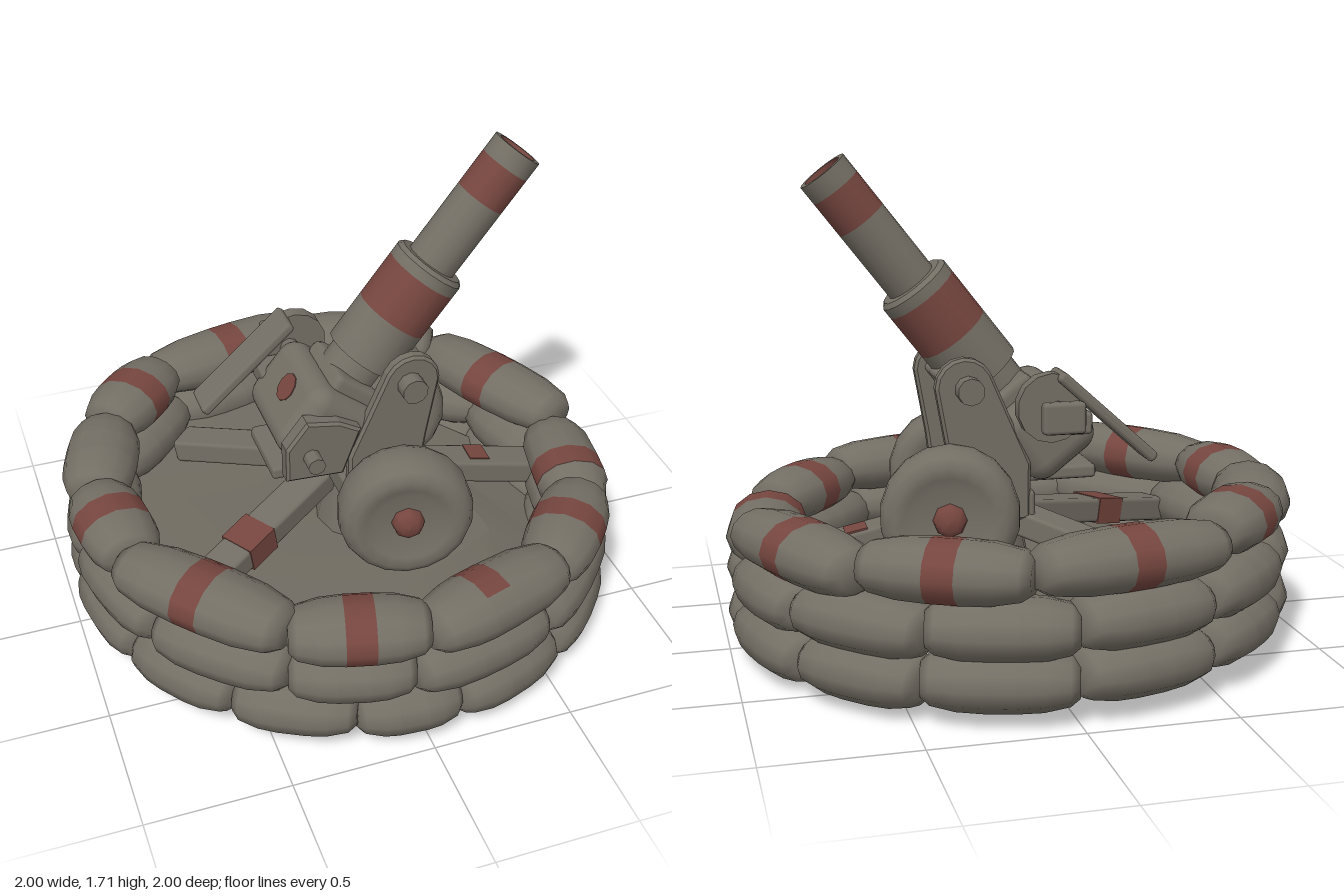
import * as THREE from 'three';
import { toCreasedNormals } from 'three/addons/utils/BufferGeometryUtils.js';
import { RoundedBoxGeometry } from 'three/addons/geometries/RoundedBoxGeometry.js';

const stone = new THREE.MeshStandardMaterial({ color: 0x746f65 });
stone.name = 'weathered grey';
const red = new THREE.MeshStandardMaterial({ color: 0x76463f });
red.name = 'faded red';
const ground = new THREE.MeshStandardMaterial({ color: 0x6f6a60, side: THREE.DoubleSide });
ground.name = 'earth grey';

const RAD = Math.PI / 180;

function add(parent, name, geometry, material, x = 0, y = 0, z = 0) {
  const mesh = new THREE.Mesh(geometry, material);
  mesh.name = name;
  mesh.position.set(x, y, z);
  parent.add(mesh);
  return mesh;
}

const curve = (points, sides, start, sweep) =>
  new THREE.LatheGeometry(points.map(([r, y]) => new THREE.Vector2(r, y)), sides, start, sweep);
const lathe = (points, sides) => toCreasedNormals(curve(points, sides), 0.7);

const box = (w, h, d, r = 0.015) => new RoundedBoxGeometry(w, h, d, 1, r);

// Cylinder lying along z
const pin = (r, length, sides = 10) => new THREE.CylinderGeometry(r, r, length, sides).rotateX(Math.PI / 2);

function prism(points, depth) {
  const shape = new THREE.Shape(points.map(([x, y]) => new THREE.Vector2(x, y)));
  return new THREE.ExtrudeGeometry(shape, { depth, bevelSize: 0.01, bevelThickness: 0.01, bevelSegments: 1 });
}

// One stuffed bag lying along local z; 'paint' is none, full or inner, 'shift' moves the band
function makeBag(length, paint, shift) {
  const bag = new THREE.Group();
  bag.name = 'sandbag';
  const half = length / 2 + 0.015;
  const end = [[0, -1], [0.55, -1], [0.78, -0.88], [0.95, -0.55]];
  const from = (shift - 0.05) / half, to = (shift + 0.05) / half;
  const low = [...end, [1, from]];
  const high = [[1, to], ...end.map(([r, y]) => [r, -y]).reverse()];
  const part = (name, profile, material, start = 0, sweep = 2) => add(bag, name,
    curve(profile, Math.round(sweep * 6), start * Math.PI, sweep * Math.PI)
      .rotateX(Math.PI / 2).scale(0.135, 0.103, half), material);
  part('bagEnd', low, stone);
  part('bagEnd', high, stone);
  const middle = [[1, from], [1, to]];
  if (paint === 'inner') {
    part('bagBand', middle, red, 5 / 6, 2 / 3);
    part('bagMiddle', middle, stone, 3 / 2, 4 / 3);
  } else part('bagBand', middle, paint === 'full' ? red : stone);
  return bag;
}

// Ring of bags between successive angles (degrees)
function makeRing(name, edges, height, paint, shift) {
  const ring = new THREE.Group();
  ring.name = name;
  for (let i = 0; i + 1 < edges.length; i++) {
    const mid = (edges[i] + edges[i + 1]) / 2 * RAD;
    const half = (edges[i + 1] - edges[i]) / 2 * RAD;
    const r = 0.87 * Math.cos(half * 0.5);
    const bag = makeBag(2 * 0.87 * Math.sin(half), paint(i), shift(i));
    bag.position.set(r * Math.cos(mid), height(i, Math.cos(mid), Math.sin(mid)), r * Math.sin(mid));
    bag.rotation.y = -mid;
    ring.add(bag);
  }
  return ring;
}

// Earth floor: a flat plateau with uneven slopes out to the bags
function makeFloor() {
  const plateau = [[0.47, -0.24], [0.5, 0.28], [0.06, 0.5], [-0.3, 0.46], [-0.55, 0.1], [-0.7, -0.36], [-0.35, -0.39], [0.05, -0.4]];
  const rimAngles = [-20, 25, 75, 122, 165, 206, 242, 285];
  const rimHeights = [0.14, 0.1, 0.16, 0.19, 0.2, 0.25, 0.33, 0.3];
  const verts = [];
  const inner = i => [plateau[i][0], 0.25, plateau[i][1]];
  const outer = i => [0.86 * Math.cos(rimAngles[i] * RAD), rimHeights[i], 0.86 * Math.sin(rimAngles[i] * RAD)];
  plateau.forEach((_, i) => {
    const n = (i + 1) % plateau.length;
    verts.push(0, 0.25, 0, ...inner(n), ...inner(i));
    verts.push(...inner(i), ...inner(n), ...outer(n), ...inner(i), ...outer(n), ...outer(i));
  });
  const g = new THREE.BufferGeometry();
  g.setAttribute('position', new THREE.Float32BufferAttribute(verts, 3));
  return toCreasedNormals(g, 0.5);
}

function makeWheel(x, z, side) {
  const wheel = new THREE.Group();
  wheel.name = side > 0 ? 'frontWheel' : 'backWheel';
  const half = [[0, -0.07], [0.11, -0.074], [0.15, -0.095], [0.19, -0.098], [0.22, -0.08], [0.237, -0.045], [0.24, 0]];
  const profile = [...half, ...half.slice(0, -1).map(([r, y]) => [r, -y]).reverse()];
  add(wheel, 'tyre', curve(profile, 18).rotateX(Math.PI / 2), stone);
  const hub = curve([[0.06, 0], [0.052, 0.035], [0.03, 0.05], [0, 0.054]], 8).rotateX(side * Math.PI / 2);
  add(wheel, 'hubCap', hub, red, 0, 0, side * 0.065);
  wheel.position.set(x, 0.51, z);
  wheel.rotation.y = -0.22;
  return wheel;
}

// Trail leg from the carriage to the ground
function makeLeg(from, to) {
  const a = new THREE.Vector3(...from), b = new THREE.Vector3(...to);
  const length = a.distanceTo(b);
  const leg = new THREE.Group();
  leg.name = 'trailLeg';
  add(leg, 'beam', box(0.13, 0.09, length), stone, 0, 0, length / 2);
  leg.position.copy(a);
  leg.lookAt(b);
  return leg;
}

// Barrel and breech, built along y with the muzzle at the origin
function makeGun() {
  const gun = new THREE.Group();
  gun.name = 'gun';
  const r = 0.092, j = 0.135;
  const sleeve = (name, radius, top, bottom, material) => add(gun, name,
    new THREE.CylinderGeometry(radius, radius, bottom - top, 16, 1, true), material, 0, -(top + bottom) / 2, 0);
  add(gun, 'muzzleRim', lathe([[r, -0.07], [r, 0], [0.072, 0]], 16), stone);
  add(gun, 'bore', lathe([[0.072, 0], [0.072, -0.12], [0, -0.12]], 16), red);
  sleeve('barrelBand', r, 0.07, 0.21, red);
  sleeve('barrel', r, 0.21, 0.52, stone);
  add(gun, 'jacketCollar', lathe([[j, -0.54], [j, -0.5], [0.12, -0.485], [r, -0.485]], 16), stone);
  sleeve('jacketBand', j, 0.54, 0.72, red);
  add(gun, 'jacket', lathe([[0.1, -0.9], [j, -0.9], [j, -0.72]], 16), stone);
  sleeve('neck', 0.11, 0.88, 1.1, stone);
  add(gun, 'cradle', box(0.1, 0.42, 0.22), stone, 0.1, -0.98, 0);
  // Breech block and its painted mark
  add(gun, 'breechCollar', box(0.22, 0.08, 0.28, 0.03), stone, 0, -1.0, 0);
  add(gun, 'breech', new RoundedBoxGeometry(0.29, 0.29, 0.42, 3, 0.07), stone, -0.03, -1.16, -0.01);
  const mark = add(gun, 'breechMark', new THREE.CylinderGeometry(0.052, 0.052, 0.008, 10), red, -0.175, -1.13, 0.01);
  mark.rotation.z = Math.PI / 2;
  gun.position.set(0.64, 1.657, 0.005);
  gun.rotation.z = -38 * RAD;
  return gun;
}

function makeCarriage() {
  const carriage = new THREE.Group();
  carriage.name = 'carriage';
  // Pedestal and base
  add(carriage, 'pedestal', new THREE.CylinderGeometry(0.15, 0.2, 0.23, 12), stone, 0.12, 0.366, 0);
  add(carriage, 'base', box(0.36, 0.1, 0.42), stone, 0.13, 0.51, 0);
  add(carriage, 'rearPlate', box(0.32, 0.05, 0.28), stone, -0.13, 0.6, 0);
  const strut = add(carriage, 'elevatingStrut', box(0.06, 0.34, 0.11), stone, 0.16, 0.7, 0.01);
  strut.rotation.z = 0.2;
  // Cheeks carrying the gun
  const arc = Array.from({ length: 8 }, (_, i) => i * 22 * RAD).map(a => [0.2 + 0.092 * Math.cos(a), 0.935 + 0.092 * Math.sin(a)]);
  const cheek = prism([[-0.02, 0.47], [0.22, 0.47], [0.25, 0.7], ...arc, [-0.02, 0.66]], 0.03).translate(0, 0, -0.015);
  for (const s of [1, -1]) {
    add(carriage, 'cheek', cheek, stone, 0, 0, s * 0.19);
    add(carriage, 'trunnionBolt', pin(0.047, 0.06), stone, 0.19, 0.93, s * 0.24);
  }
  add(carriage, 'trunnion', pin(0.04, 0.5), stone, 0.19, 0.93, 0);
  // Gearbox and bolt on the near side
  const gearBox = prism([[-0.26, 0.65], [-0.07, 0.64], [-0.01, 0.8], [-0.08, 0.84], [-0.19, 0.86], [-0.26, 0.77]], 0.05);
  add(carriage, 'gearBox', gearBox, stone, 0, 0, 0.19);
  add(carriage, 'gearBolt', pin(0.032, 0.1, 8), stone, -0.18, 0.73, 0.26);
  // Sighting plate and elevating wheel on the far side
  const plate = add(carriage, 'sightPlate', box(0.46, 0.04, 0.14), stone, -0.275, 0.83, -0.26);
  plate.rotation.z = 42 * RAD;
  add(carriage, 'plateBracket', box(0.12, 0.08, 0.12), stone, -0.18, 0.8, -0.2);
  add(carriage, 'handwheelShaft', pin(0.035, 0.2, 8), stone, -0.1, 0.86, -0.27);
  add(carriage, 'handwheel', pin(0.12, 0.05, 14), stone, -0.08, 0.87, -0.28);
  add(carriage, 'handle', box(0.15, 0.11, 0.05), stone, -0.1, 0.85, -0.375);
  // Wheels on a slightly turned axle
  carriage.add(makeWheel(0.125, 0.36, 1), makeWheel(0.265, -0.26, -1));
  const axle = add(carriage, 'axle', pin(0.045, 0.6), stone, 0.195, 0.51, 0.05);
  axle.rotation.y = -0.22;
  // Trail legs, two of them painted
  const left = makeLeg([-0.02, 0.45, -0.04], [-0.68, 0.31, 0.37]);
  add(left, 'beamBand', new THREE.BoxGeometry(0.136, 0.096, 0.13), red, 0, 0, 0.45);
  const front = makeLeg([0.15, 0.45, 0], [0.78, 0.31, 0.03]);
  add(front, 'beamMark', new THREE.BoxGeometry(0.09, 0.008, 0.08), red, 0.01, 0.045, 0.4);
  carriage.add(left, front, makeLeg([0, 0.45, -0.12], [-0.46, 0.31, -0.54]));
  return carriage;
}

export function createModel() {
  const model = new THREE.Group();
  model.name = 'gunEmplacement';
  add(model, 'floor', makeFloor(), ground);

  // Three rings of sandbags, the top one painted
  const bottomEdges = [-59, -31, 0, 25, 56, 83, 105, 131, 157, 184, 211, 240, 270, 301];
  const middleEdges = [-60, -29, 0, 25, 60, 93, 119, 150, 180, 210, 240, 270, 300];
  const topEdges = [-81, -46, -3, 25, 54, 90, 119, 161, 185, 211, 236, 279];
  const topHeights = [0.48, 0.45, 0.39, 0.42, 0.445, 0.46, 0.49, 0.5, 0.51, 0.53, 0.5];
  const topPaint = i => i === 8 ? 'none' : i === 4 ? 'inner' : 'full';
  const topShift = i => i === 2 ? 0.07 : i === 4 ? 0.04 : 0;
  model.add(
    makeRing('bottomRing', bottomEdges, (i, x, z) => 0.137 - 0.03 * x - 0.008 * z, () => 'none', () => 0),
    makeRing('middleRing', middleEdges, (i, x, z) => 0.3 - 0.03 * x - 0.01 * z, () => 'none', () => 0),
    makeRing('topRing', topEdges, i => topHeights[i], topPaint, topShift));

  model.add(makeCarriage(), makeGun());
  return model;
}
